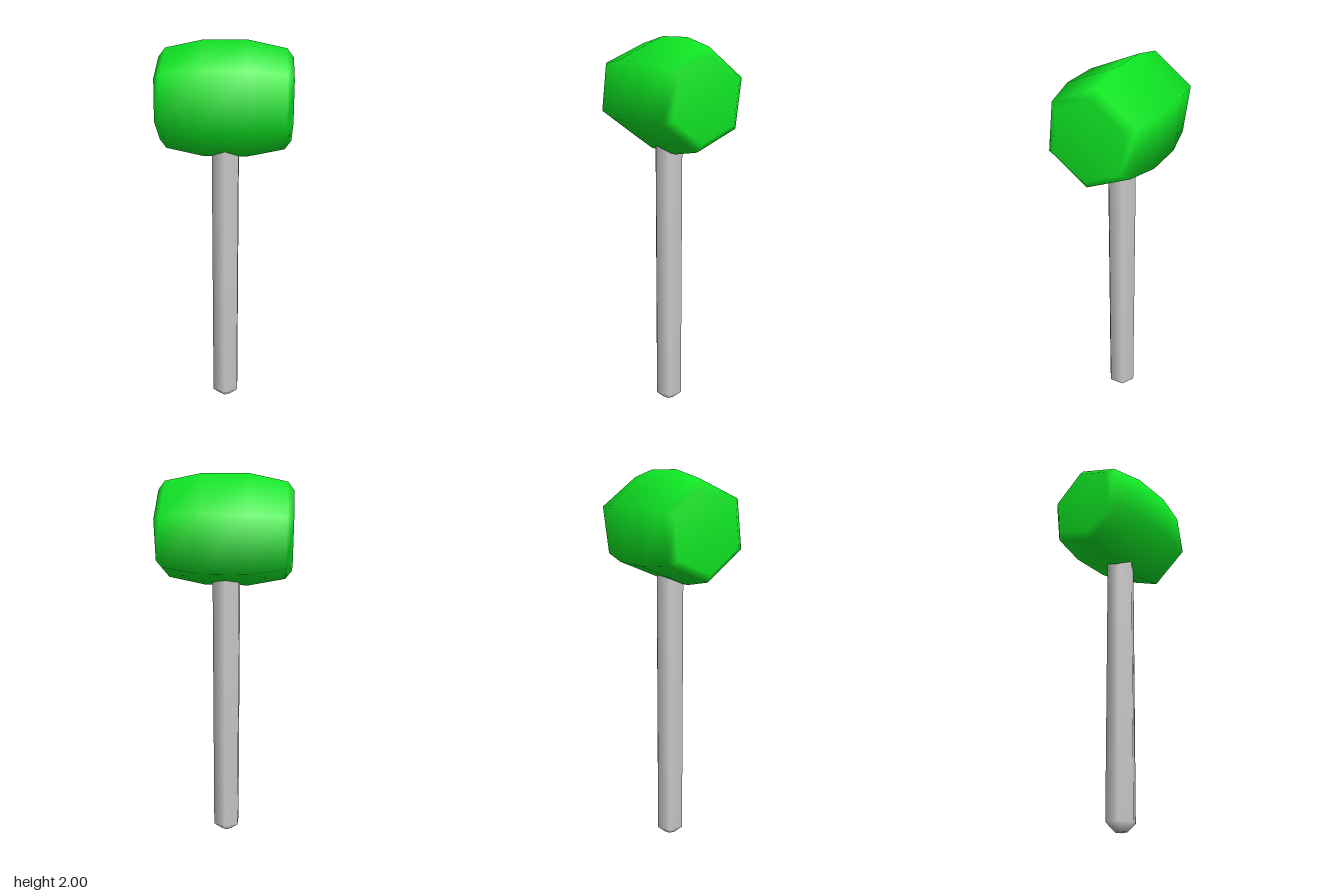
import * as THREE from 'three';

// Six-sided smooth solid turned around y from [radius, height] pairs, bottom to top
function hexLathe(profile) {
  return new THREE.LatheGeometry(profile.map(([r, y]) => new THREE.Vector2(r, y)), 6);
}

export function createModel() {
  const model = new THREE.Group();
  model.name = 'mallet';

  // Handle: hexagonal rod with a chamfered foot, its top buried in the head
  const handle = new THREE.Mesh(
    hexLathe([[0, 0], [0.032, 0], [0.078, 0.042], [0.078, 1.56], [0.032, 1.6], [0, 1.6]]),
    new THREE.MeshStandardMaterial({ color: 0xcccccc })
  );
  handle.name = 'handle';
  model.add(handle);

  // Head: hexagonal barrel lying along x, mirrored profile
  const half = [[0.285, 0.113], [0.246, 0.3], [0.203, 0.333], [0, 0.333]];
  const profile = [...half.map(([r, x]) => [r, -x]).reverse(), ...half];
  const headGeometry = hexLathe(profile);
  headGeometry.rotateZ(-Math.PI / 2);
  headGeometry.rotateX(THREE.MathUtils.degToRad(-37));
  const head = new THREE.Mesh(headGeometry, new THREE.MeshStandardMaterial({ color: 0x0fe824 }));
  head.name = 'head';
  head.position.y = 1.717;
  model.add(head);

  return model;
}
